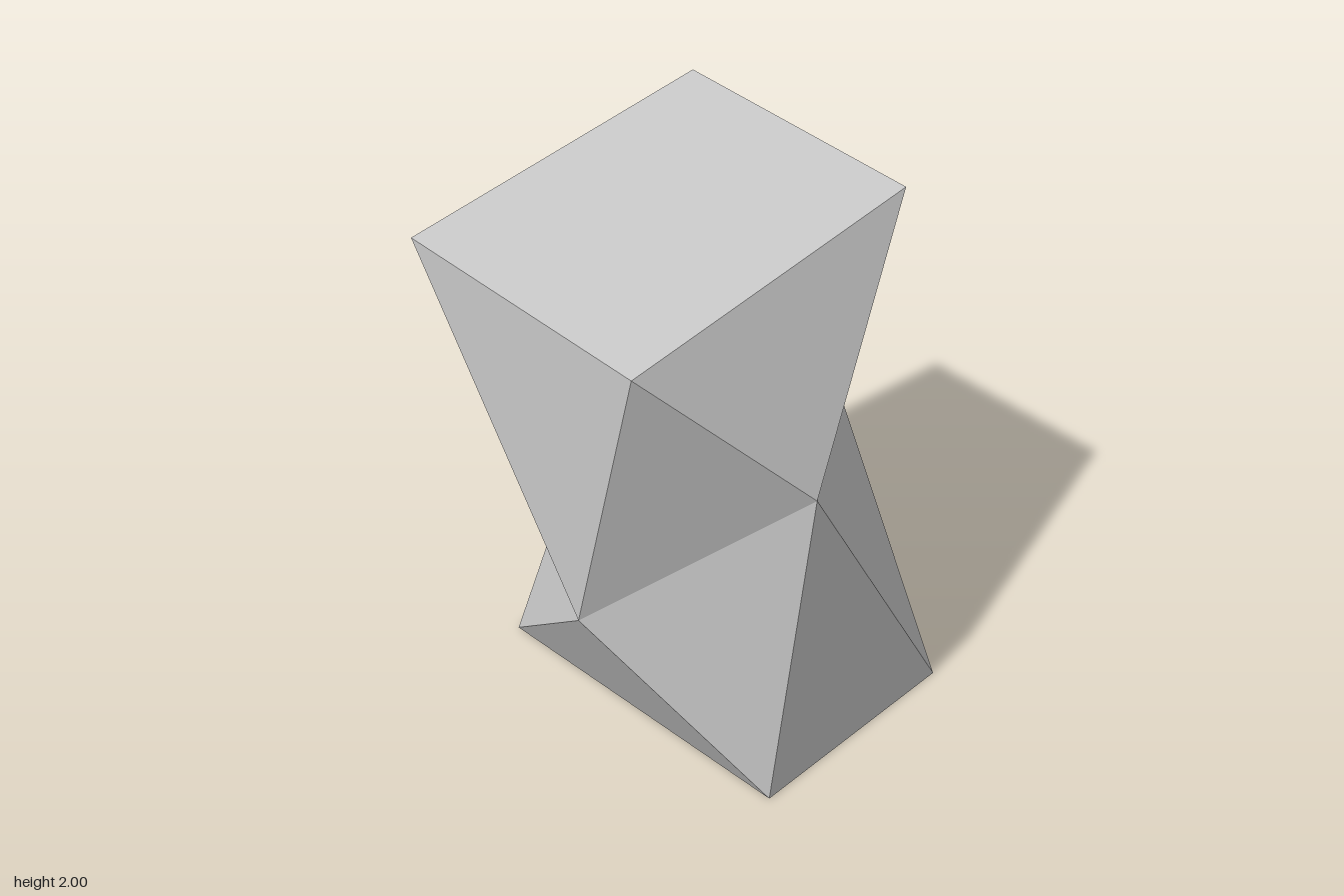
import * as THREE from 'three';

// Corner rings, counter-clockwise seen from above, starting at the front left-hand side of the view
const base = [[-0.61, 0, 0.24], [0.61, 0, 0.24], [0.61, 0, -0.61], [-0.61, 0, -0.61]];
const waist = [[0.16, 0.74, 0.64], [0.68, 1.21, 0.15], [-0.16, 1.21, -0.735], [-0.68, 0.74, -0.25]];
const top = [[-0.385, 1.91, 0.735], [0.46, 1.79, 0.685], [0.405, 1.88, -0.53], [-0.44, 2, -0.48]];

export function createModel() {
  const points = [];
  const tri = (a, b, c) => points.push(...a, ...b, ...c);

  // Each waist point meets one base edge and one top edge, twisting the block
  for (let i = 0; i < 4; i++) {
    const j = (i + 1) % 4;
    tri(base[i], base[j], waist[i]);
    tri(base[j], waist[j], waist[i]);
    tri(top[j], top[i], waist[i]);
    tri(top[j], waist[i], waist[j]);
  }

  // Flat caps
  for (const i of [1, 2]) {
    tri(top[0], top[i], top[i + 1]);
    tri(base[0], base[i + 1], base[i]);
  }

  const geometry = new THREE.BufferGeometry();
  geometry.setAttribute('position', new THREE.Float32BufferAttribute(points, 3));
  geometry.computeVertexNormals();

  const rock = new THREE.Mesh(
    geometry,
    new THREE.MeshStandardMaterial({ color: 0xcccccc, flatShading: true })
  );
  rock.name = 'facetedRock';

  const model = new THREE.Group();
  model.name = 'rock';
  model.add(rock);
  return model;
}
